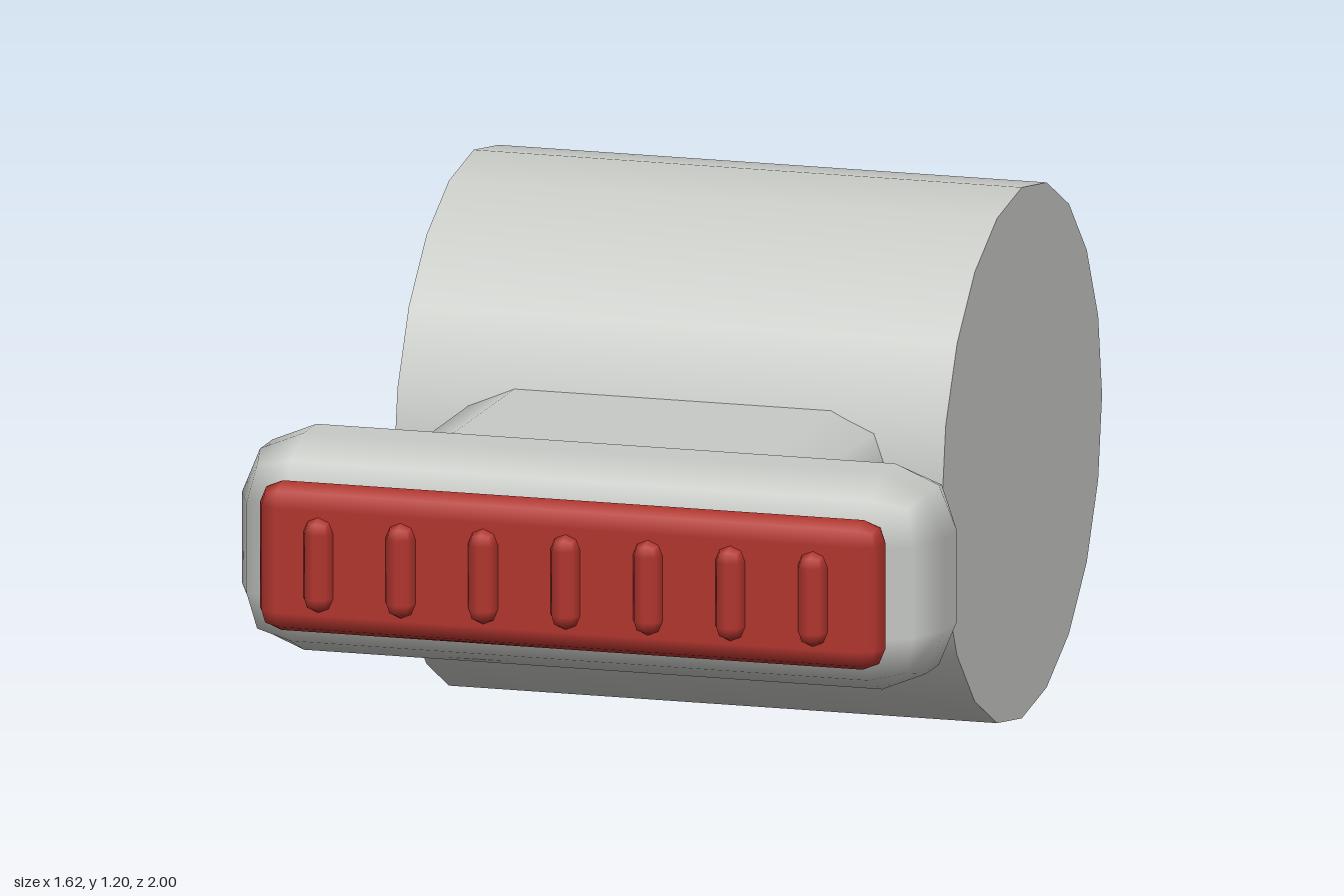
import * as THREE from 'three';
import { RoundedBoxGeometry } from 'three/addons/geometries/RoundedBoxGeometry.js';

export function createModel() {
  const model = new THREE.Group();
  model.name = 'model';

  const grey = new THREE.MeshStandardMaterial({ color: 0xc8cac6 });
  grey.name = 'light grey';
  const red = new THREE.MeshStandardMaterial({ color: 0xb3352e });
  red.name = 'red';

  function add(name, geometry, material, x, y, z) {
    const mesh = new THREE.Mesh(geometry, material);
    mesh.name = name;
    mesh.position.set(x, y, z);
    model.add(mesh);
    return mesh;
  }
  // box with single-facet rounded edges
  const rounded = (w, h, d, r) => new RoundedBoxGeometry(w, h, d, 1, r);

  // large drum lying across the back
  const drum = add('drum', new THREE.CylinderGeometry(0.6, 0.6, 1.264, 20), grey, 0, 0.6, -0.4);
  drum.rotation.z = Math.PI / 2;

  // neck joining the drum to the bar
  add('neck', rounded(1.02, 0.47, 0.9, 0.145), grey, 0, 0.565, 0.3);

  // rounded front bar
  add('bar', rounded(1.62, 0.49, 0.38, 0.143), grey, 0, 0.565, 0.71);

  // grip plate on the front of the bar
  add('gripPlate', rounded(1.44, 0.336, 0.11, 0.05), red, 0, 0.567, 0.91);

  // row of seven raised ribs
  const ribGeometry = rounded(0.068, 0.215, 0.07, 0.034);
  for (let i = -3; i <= 3; i++) {
    add('rib' + (i + 4), ribGeometry, red, i * 0.19, 0.563, 0.965);
  }

  return model;
}
